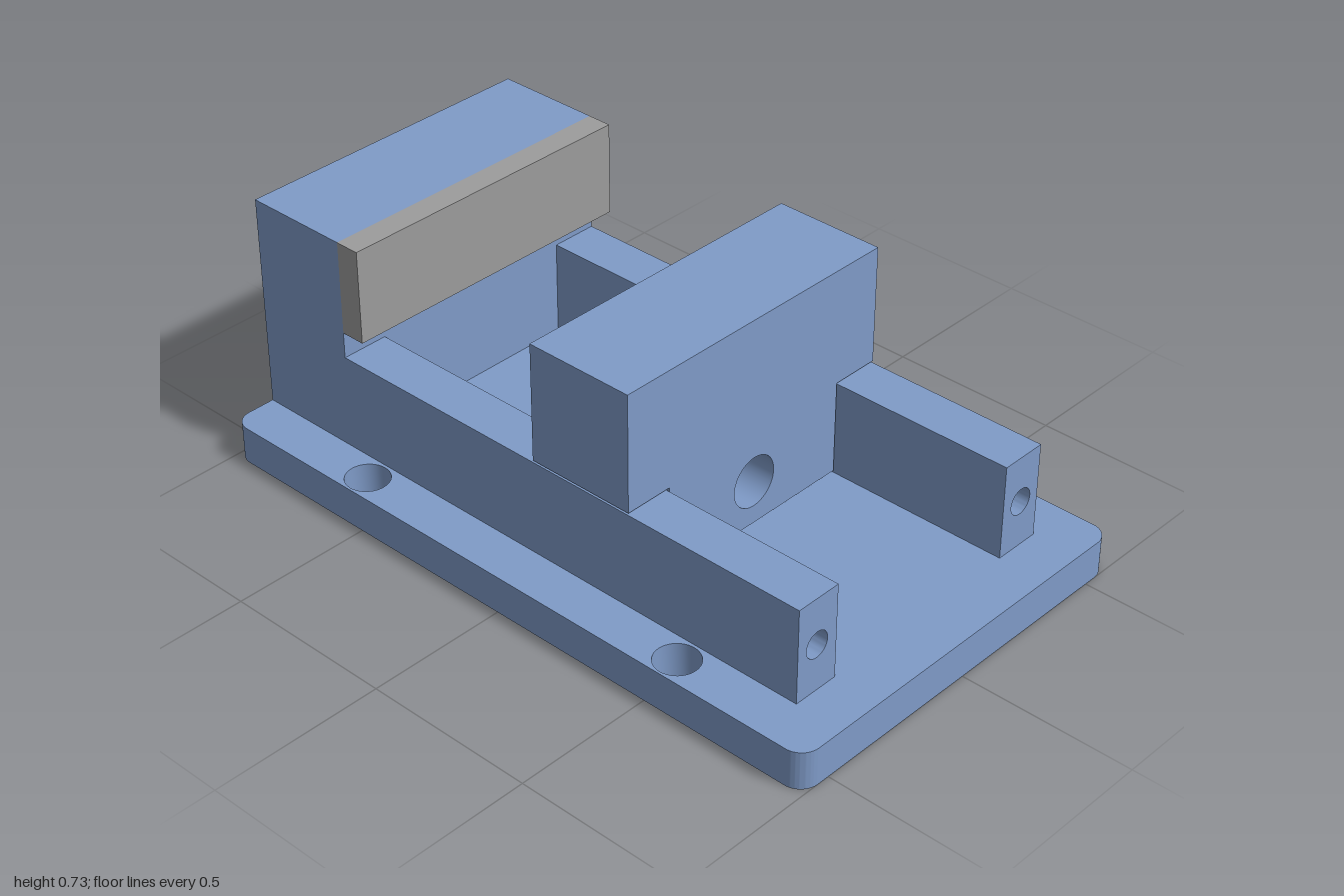
import * as THREE from 'three';
import { toCreasedNormals } from 'three/addons/utils/BufferGeometryUtils.js';

const BASE_TOP = 0.11, BODY_HALF = 0.455, TOP = 0.73;
const RAIL_INNER = 0.317, RAIL_TOP = 0.385, SCREW_Y = 0.247;

export function createModel() {
  const blue = new THREE.MeshStandardMaterial({ name: 'blue painted metal', color: 0x7f9bc8 });
  const grey = new THREE.MeshStandardMaterial({ name: 'grey steel', color: 0x9c9c9c });
  const model = new THREE.Group();
  model.name = 'machineVise';

  const add = (name, geometry, material, parent = model) => {
    const mesh = new THREE.Mesh(geometry, material);
    mesh.name = name;
    parent.add(mesh);
    return mesh;
  };

  // Box from its minimum and maximum corners
  const block = (x0, x1, y0, y1, z0, z1) =>
    new THREE.BoxGeometry(x1 - x0, y1 - y0, z1 - z0)
      .translate((x0 + x1) / 2, (y0 + y1) / 2, (z0 + z1) / 2);

  // Outline with round holes given as [u, v, radius]
  const outline = (points, holes = []) => {
    const shape = new THREE.Shape(points.map(([u, v]) => new THREE.Vector2(u, v)));
    return drill(shape, holes);
  };
  const drill = (shape, holes) => {
    for (const [u, v, r] of holes) {
      shape.holes.push(new THREE.Path().absarc(u, v, r, 0, Math.PI * 2, true));
    }
    return shape;
  };
  const extrude = (shape, depth) => toCreasedNormals(
    new THREE.ExtrudeGeometry(shape, { depth, bevelEnabled: false, curveSegments: 20 }), 0.6);

  // Extrusion along x of a section drawn as (-z, y)
  const alongX = (shape, x0, x1) =>
    extrude(shape, x1 - x0).rotateY(Math.PI / 2).translate(x0, 0, 0);

  // Base plate with rounded corners and four bolt holes
  const w = 1, d = 0.592, r = 0.055;
  const plate = new THREE.Shape();
  plate.absarc(w - r, d - r, r, 0, Math.PI / 2);
  plate.absarc(-w + r, d - r, r, Math.PI / 2, Math.PI);
  plate.absarc(-w + r, -d + r, r, Math.PI, Math.PI * 1.5);
  plate.absarc(w - r, -d + r, r, Math.PI * 1.5, Math.PI * 2);
  plate.closePath();
  const bolts = [];
  for (const sx of [-1, 1]) for (const sz of [-1, 1]) bolts.push([sx * 0.545, sz * 0.524, 0.061]);
  add('basePlate', extrude(drill(plate, bolts), BASE_TOP).rotateX(-Math.PI / 2), blue);

  // Fixed jaw and its grip plate
  add('fixedJaw', block(-1, -0.685, BASE_TOP, TOP, -BODY_HALF, BODY_HALF), blue);
  add('jawPlate', block(-0.685, -0.613, 0.46, TOP, -BODY_HALF, BODY_HALF), grey);

  // Guide rails, each with a blind hole in its free end
  for (const [side, s] of [['left', 1], ['right', -1]]) {
    const rail = new THREE.Group();
    rail.name = side + 'Rail';
    model.add(rail);
    const z0 = s > 0 ? RAIL_INNER : -BODY_HALF, z1 = s > 0 ? BODY_HALF : -RAIL_INNER;
    add('railBody', block(-0.685, 0.56, BASE_TOP, RAIL_TOP, z0, z1), blue, rail);
    const section = outline(
      [[z0, BASE_TOP], [z1, BASE_TOP], [z1, RAIL_TOP], [z0, RAIL_TOP]],
      [[s * 0.387, SCREW_Y, 0.038]]);
    add('railEnd', alongX(section, 0.56, 0.86), blue, rail);
  }

  // Sliding jaw: T section, screw hole right through, two blind holes facing the fixed jaw
  const slider = new THREE.Group();
  slider.name = 'slidingJaw';
  model.add(slider);
  const k = 0.312, b = 0.12, ledge = 0.391;
  const tee = [[-k, b], [k, b], [k, ledge], [BODY_HALF, ledge], [BODY_HALF, TOP],
    [-BODY_HALF, TOP], [-BODY_HALF, ledge], [-k, ledge]];
  const screw = [0, SCREW_Y, 0.074];
  const pins = [[-0.273, 0.595, 0.028], [0.273, 0.595, 0.028]];
  add('slidingJawFace', alongX(outline(tee, [screw, ...pins]), 0, 0.16), blue, slider);
  add('slidingJawBack', alongX(outline(tee, [screw]), 0.16, 0.322), blue, slider);

  return model;
}
